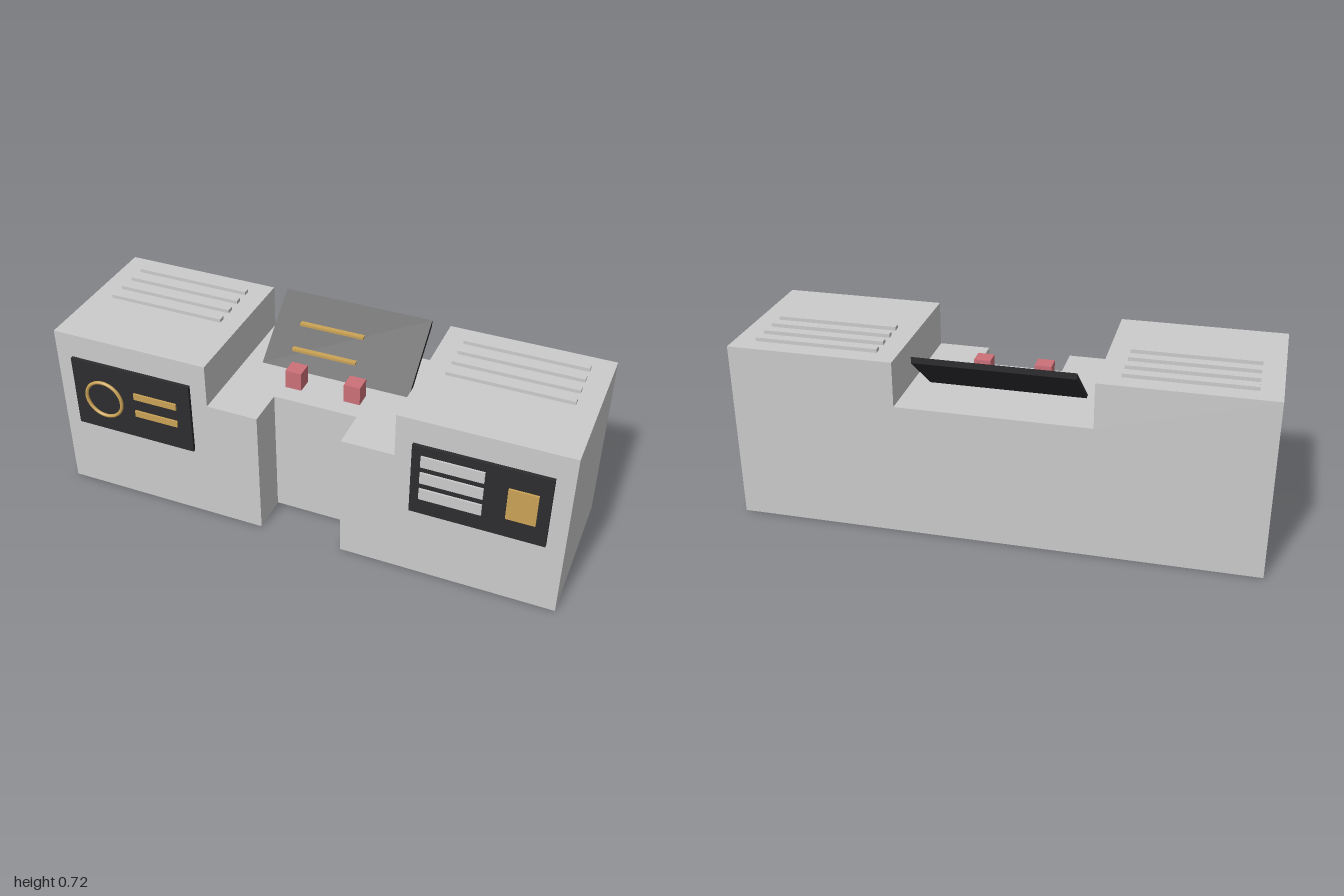
import * as THREE from 'three';

const mat = (color) => new THREE.MeshStandardMaterial({ color });

export function createModel() {
  const model = new THREE.Group();
  const grey = mat(0xcccccc), dark = mat(0x2d2d30), gold = mat(0xcaa255), red = mat(0xcc7078);

  const add = (name, geometry, material) => {
    const mesh = new THREE.Mesh(geometry, material);
    mesh.name = name;
    model.add(mesh);
    return mesh;
  };
  // Box given by its lower and upper limits on each axis
  const block = (name, material, [x0, x1], [y0, y1], [z0, z1]) => {
    const mesh = add(name, new THREE.BoxGeometry(x1 - x0, y1 - y0, z1 - z0), material);
    mesh.position.set((x0 + x1) / 2, (y0 + y1) / 2, (z0 + z1) / 2);
    return mesh;
  };
  const shape = (points) => new THREE.Shape(points.map(([x, y]) => new THREE.Vector2(x, y)));

  const back = -0.315, front = 0.288, deckY = 0.525, topY = 0.7;

  // Console base: plan outline with the knee notch, drawn as (x, -z)
  const plan = shape([
    [-1, -front], [-0.165, -front], [-0.165, -0.135], [0.165, -0.135],
    [0.165, -front], [1, -front], [1, -back], [-1, -back],
  ]);
  const base = new THREE.ExtrudeGeometry(plan, { depth: deckY, bevelEnabled: false });
  add('consoleBase', base.rotateX(-Math.PI / 2), grey);

  // Raised side cabinets with vent slats and front panels
  for (const [side, s] of [['right', -1], ['left', 1]]) {
    const span = (a, b) => (s > 0 ? [a, b] : [-b, -a]);
    block(side + 'Cabinet', grey, span(0.367, 1), [deckY, topY], [back, front]);
    for (let i = 0; i < 4; i++) {
      const z = -0.0145 - i * 0.072;
      block(side + 'VentSlat', grey, span(0.447, 0.918), [topY, 0.714], [z - 0.0135, z + 0.0135]);
    }
    block(side + 'FrontPanel', dark, span(0.433, 0.933), [0.301, 0.601], [front, 0.301]);
  }

  // Right panel: dial ring and two bars
  const ring = add('dialRing', new THREE.TorusGeometry(0.076, 0.007, 8, 40), gold);
  ring.position.set(-0.802, 0.448, 0.308);
  for (const y of [0.418, 0.497]) {
    block('panelBar', gold, [-0.67, -0.49], [y - 0.0135, y + 0.0135], [0.301, 0.308]);
  }

  // Left panel: three readouts and an indicator plate
  for (const y of [0.395, 0.468, 0.54]) {
    block('readout', grey, [0.468, 0.698], [y - 0.0235, y + 0.0235], [0.301, 0.308]);
  }
  block('indicatorPlate', gold, [0.783, 0.89], [0.388, 0.521], [0.301, 0.309]);

  // Sloping screen: side section drawn as (-z, y), extruded across x
  const section = shape([[0.05, deckY], [0.08, deckY], [0.294, 0.697], [0.294, 0.721]]);
  const screen = new THREE.ExtrudeGeometry(section, { depth: 0.6, bevelEnabled: false });
  add('slopedScreen', screen.translate(0, 0, -0.3).rotateY(Math.PI / 2), dark);
  for (const [y, z] of [[0.644, -0.195], [0.578, -0.113]]) {
    block('screenLine', gold, [-0.198, 0.064], [y - 0.005, y + 0.005], [z - 0.011, z + 0.011]);
  }

  // Deck buttons
  for (const x of [-0.118, 0.117]) {
    block('deckButton', red, [x - 0.032, x + 0.032], [deckY, 0.6], [0, 0.064]);
  }

  return model;
}
